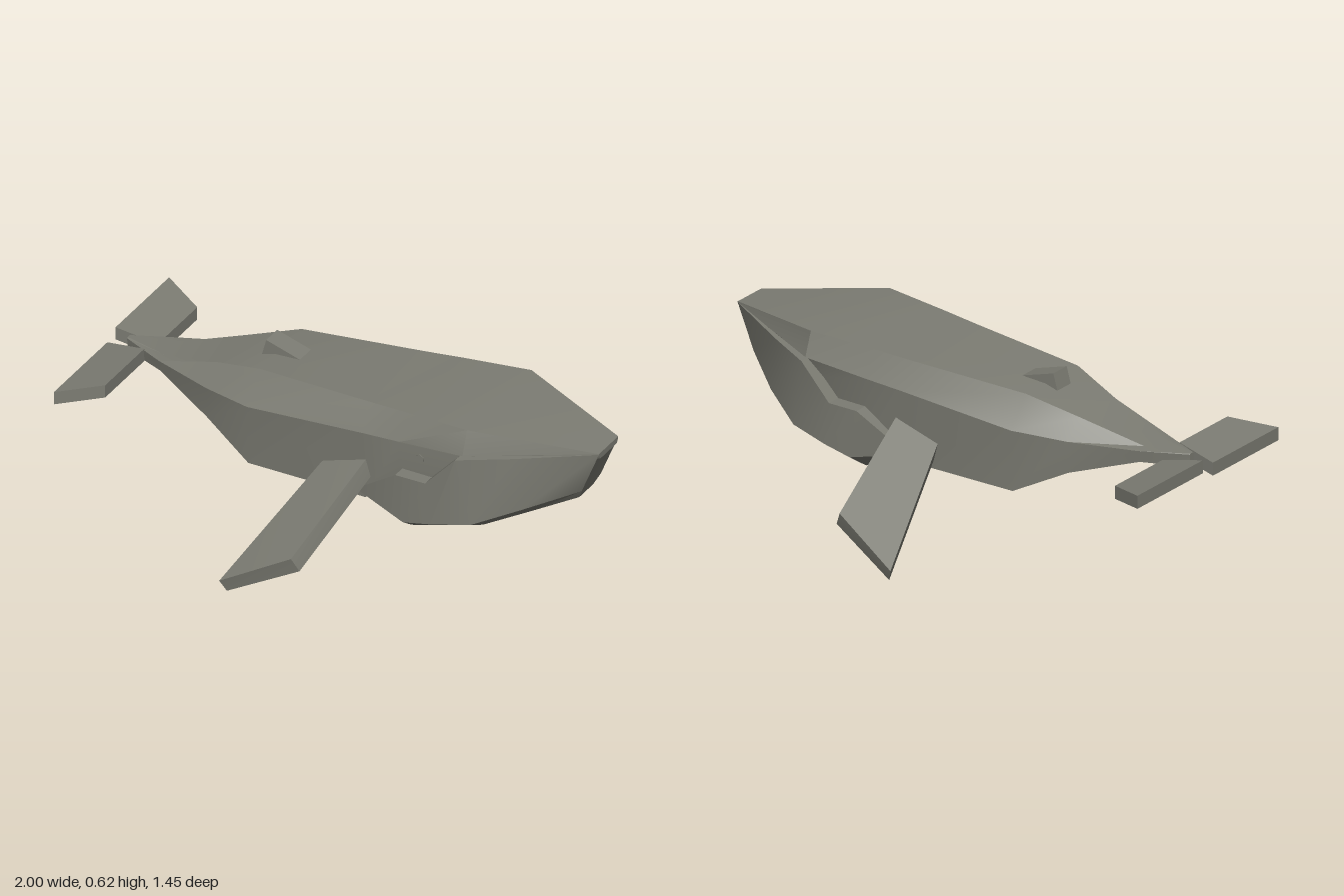
import * as THREE from 'three';
import { toCreasedNormals } from 'three/addons/utils/BufferGeometryUtils.js';

const skin = new THREE.MeshStandardMaterial({ color: 0x7c7c73 });
skin.name = 'greySkin';

// Skin a row of closed rings and cap both ends
function loft(rings) {
  const pos = [];
  const tri = (a, b, c) => pos.push(...a, ...b, ...c);
  const n = rings[0].length;
  for (let i = 0; i < rings.length - 1; i++) {
    const p = rings[i], q = rings[i + 1];
    for (let j = 0; j < n; j++) {
      const k = (j + 1) % n;
      tri(p[j], p[k], q[j]);
      tri(p[k], q[k], q[j]);
    }
  }
  const first = rings[0], last = rings[rings.length - 1];
  for (let j = 1; j < n - 1; j++) {
    tri(first[0], first[j + 1], first[j]);
    tri(last[0], last[j], last[j + 1]);
  }
  const g = new THREE.BufferGeometry();
  g.setAttribute('position', new THREE.Float32BufferAttribute(pos, 3));
  return toCreasedNormals(g, 0.45);
}

// Complete a half section (top to belly, on +z) into a full ring
const fullRing = (half) => [...half, ...half.map(([x, y, z]) => [x, y, -z]).reverse()];

// Reflect rings across the centre plane, keeping faces outward
const mirrorRings = (rings, dx = 0) =>
  rings.map((r) => r.map(([x, y, z]) => [x + dx, y, -z]).reverse());

export function createModel() {
  const model = new THREE.Group();
  model.name = 'whale';
  const add = (name, geometry) => {
    const m = new THREE.Mesh(geometry, skin);
    m.name = name;
    model.add(m);
    return m;
  };

  // Body: x, back y, back half width, side ridge y, half width, belly y, half width
  const body = [
    [-0.93, 0.45, 0.008, 0.447, 0.012, 0.40, 0.01],
    [-0.76, 0.45, 0.05, 0.445, 0.09, 0.40, 0.08],
    [-0.52, 0.518, 0.105, 0.45, 0.18, 0.33, 0.175],
    [-0.32, 0.575, 0.155, 0.465, 0.245, 0.23, 0.235],
    [0.15, 0.598, 0.198, 0.50, 0.255, 0.23, 0.24],
    [0.30, 0.607, 0.212, 0.51, 0.26, 0.28, 0.245],
    [0.56, 0.62, 0.235, 0.53, 0.268, 0.45, 0.25],
    [1.0, 0.563, 0.07, 0.558, 0.07, 0.54, 0.06],
  ];
  add('body', loft(body.map(([x, ty, tz, sy, sz, by, bz]) =>
    fullRing([[x, ty, tz], [x, sy, sz], [x, by, bz]]))));

  // Lower jaw: lip, chine and keel points of each section
  const jaw = [
    [[0.17, 0.30, 0.27], [0.12, 0.262, 0.25], [0.15, 0.235, 0.2]],
    [[0.31, 0.40, 0.305], [0.34, 0.215, 0.305], [0.33, 0.157, 0.22]],
    [[0.43, 0.40, 0.305], [0.45, 0.238, 0.305], [0.45, 0.185, 0.21]],
    [[0.55, 0.53, 0.305], [0.60, 0.268, 0.285], [0.60, 0.22, 0.19]],
    [[0.73, 0.54, 0.215], [0.76, 0.332, 0.2], [0.76, 0.287, 0.12]],
    [[1.0, 0.56, 0.07], [0.93, 0.39, 0.07], [0.91, 0.35, 0.05]],
  ];
  add('lowerJaw', loft(jaw.map(fullRing)));

  // Side flippers, root to tip
  const flipper = [
    [[0.165, 0.405, 0.22], [-0.01, 0.345, 0.22], [0.015, 0.285, 0.2], [0.185, 0.345, 0.2]],
    [[0.095, 0.187, 0.675], [-0.165, 0.05, 0.727], [-0.145, 0.004, 0.707], [0.12, 0.135, 0.658]],
  ];
  add('leftSideFlipper', loft(flipper));
  add('rightSideFlipper', loft(mirrorRings(flipper, 0.018)));

  // Tail flukes, tilted opposite ways
  const fluke = (frontY, backY) => [[0.05, 0.03], [0.335, 0.42]].map(([zf, zb]) => [
    [-0.84, frontY, zf], [-1, backY, zb],
    [-1, backY - 0.05, zb], [-0.84, frontY - 0.05, zf],
  ]);
  add('tailFlukeA', loft(fluke(0.45, 0.42)));
  add('tailFlukeB', loft(mirrorRings(fluke(0.418, 0.45))));

  // Dorsal fin wedge
  const fin = new THREE.Shape();
  fin.moveTo(-0.378, 0.54);
  fin.lineTo(-0.2, 0.56);
  fin.lineTo(-0.22, 0.58);
  fin.lineTo(-0.355, 0.622);
  const finGeo = new THREE.ExtrudeGeometry(fin, { depth: 0.08, bevelEnabled: false });
  add('dorsalFin', finGeo.translate(0, 0, -0.04));

  // Small eye plate
  const eye = add('eye', new THREE.CylinderGeometry(0.016, 0.016, 0.008, 6));
  eye.rotation.x = Math.PI / 2;
  eye.position.set(0.385, 0.467, 0.26);

  return model;
}
